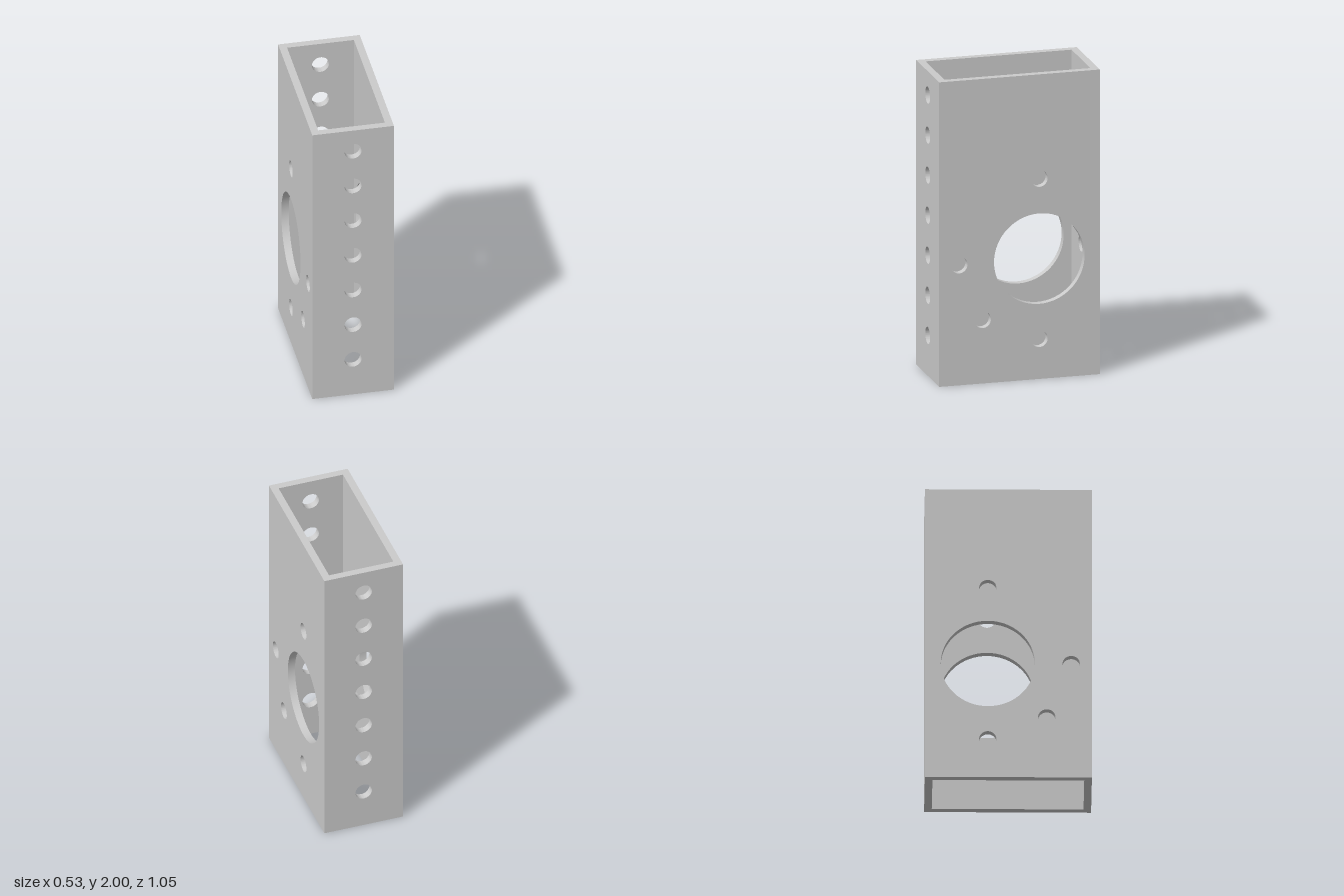
import * as THREE from 'three';
import { toCreasedNormals } from 'three/addons/utils/BufferGeometryUtils.js';

const HEIGHT = 2, WIDTH = 0.526, DEPTH = 1.053, WALL = 0.048;
const PITCH = 0.263, HOLE_R = 0.055;

// Flat plate standing on y = 0, centred on x and z, with round holes [u, y, radius]
function plate(width, holes) {
  const w = width / 2;
  const shape = new THREE.Shape();
  shape.moveTo(-w, 0).lineTo(w, 0).lineTo(w, HEIGHT).lineTo(-w, HEIGHT).closePath();
  for (const [u, y, r] of holes) {
    shape.holes.push(new THREE.Path().absarc(u, y, r, 0, Math.PI * 2, true));
  }
  const geometry = new THREE.ExtrudeGeometry(shape, {
    depth: WALL, bevelEnabled: false, curveSegments: 32,
  });
  geometry.translate(0, 0, -WALL / 2);
  return toCreasedNormals(geometry, 0.6);
}

export function createModel() {
  const group = new THREE.Group();
  group.name = 'rectangularTube';
  const material = new THREE.MeshStandardMaterial({ color: 0xcccccc });

  // Narrow walls: one column of evenly spaced holes
  const column = [];
  for (let i = 1; i <= 7; i++) column.push([0, i * PITCH + 0.002, HOLE_R]);
  const endGeometry = plate(WIDTH - 2 * WALL, column);

  // Wide walls: large bore with small holes on a circle around it
  const boreZ = -0.13, boreY = 0.79, circleR = 0.526;
  const pattern = [[boreZ, boreY, 0.297]];
  for (const degrees of [90, 0, -45, -90]) {
    const a = THREE.MathUtils.degToRad(degrees);
    pattern.push([boreZ + circleR * Math.cos(a), boreY + circleR * Math.sin(a), HOLE_R]);
  }
  const sideGeometry = plate(DEPTH, pattern).rotateY(-Math.PI / 2);

  for (const s of [1, -1]) {
    const end = new THREE.Mesh(endGeometry, material);
    end.name = s > 0 ? 'frontWall' : 'backWall';
    end.position.z = s * (DEPTH - WALL) / 2;

    const side = new THREE.Mesh(sideGeometry, material);
    side.name = s > 0 ? 'leftWall' : 'rightWall';
    side.position.x = s * (WIDTH - WALL) / 2;
    group.add(end, side);
  }
  return group;
}
